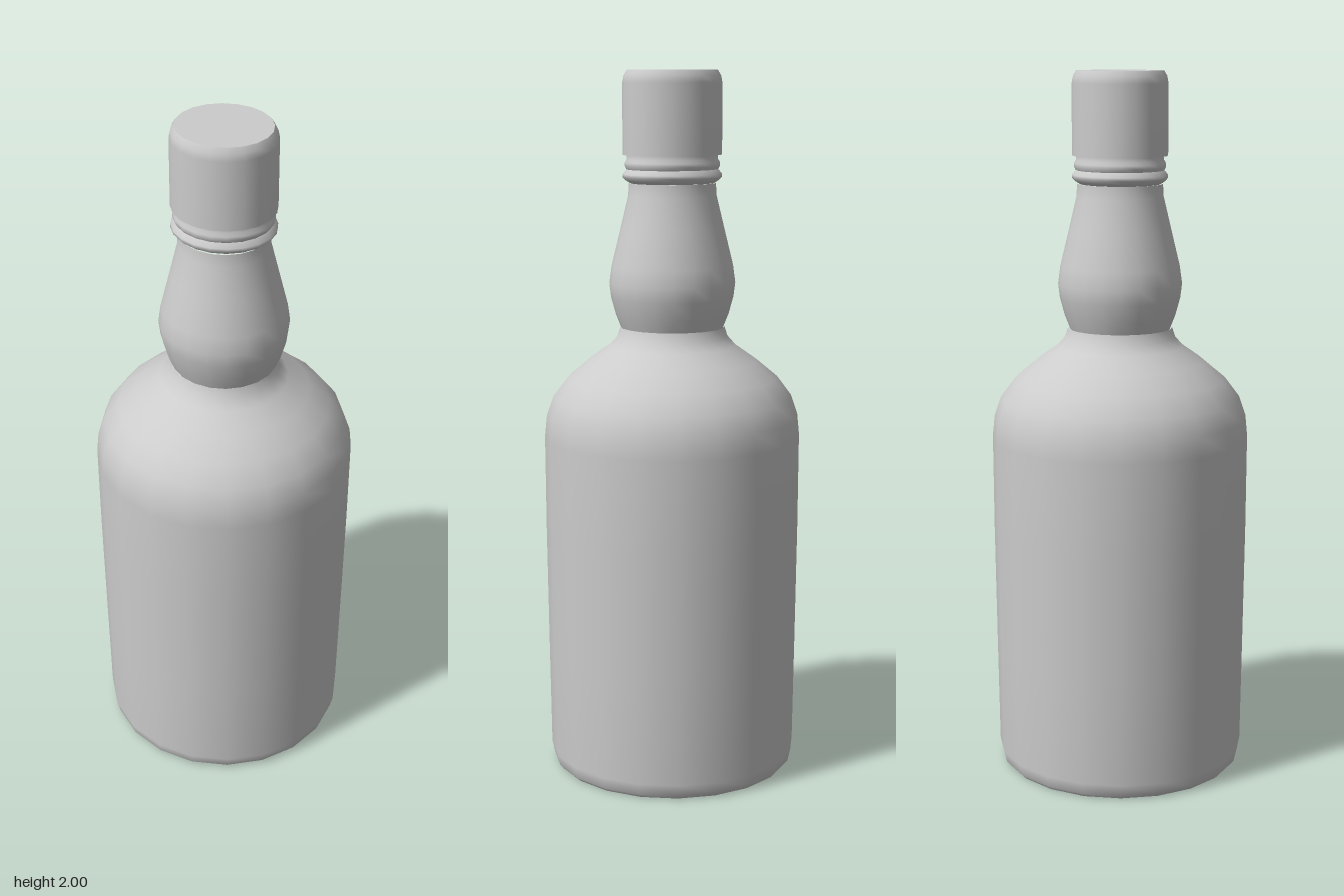
import * as THREE from 'three';

const SIDES = 20;

export function createModel() {
  const bottle = new THREE.Group();
  bottle.name = 'bottle';
  const material = new THREE.MeshStandardMaterial({ color: 0xcccccc });

  // Turns a profile of [radius, height] pairs, listed upwards; depth squeezes it along z
  function turned(name, profile, depth = 1) {
    const points = profile.map(([r, y]) => new THREE.Vector2(r, y));
    const mesh = new THREE.Mesh(new THREE.LatheGeometry(points, SIDES), material);
    mesh.name = name;
    mesh.scale.z = depth;
    bottle.add(mesh);
  }

  // Flat base and body with rounded shoulder
  turned('base', [[0, 0], [0.338, 0]]);
  turned('body', [
    [0.338, 0], [0.349, 0.012], [0.357, 0.045], [0.361, 0.35], [0.365, 0.7],
    [0.366, 0.97], [0.36, 1.03], [0.341, 1.085], [0.3, 1.14],
    [0.24, 1.19], [0.18, 1.232], [0.157, 1.258], [0.148, 1.285],
  ]);

  // Bulging neck, slightly narrower in depth
  turned('neck', [
    [0.146, 1.28], [0.162, 1.32], [0.176, 1.37], [0.181, 1.41], [0.174, 1.46],
    [0.148, 1.565], [0.126, 1.655], [0.124, 1.69],
  ], 0.965);

  // Lip rings below the cap
  turned('lowerRing', [
    [0.122, 1.69], [0.134, 1.697], [0.143, 1.706], [0.143, 1.715], [0.132, 1.728],
  ], 0.93);
  turned('collar', [
    [0.132, 1.728], [0.137, 1.737], [0.137, 1.747], [0.131, 1.756], [0.131, 1.768],
  ], 0.93);

  // Cap with bevelled rim and flat top
  turned('capUnderside', [[0.125, 1.768], [0.143, 1.768]], 0.93);
  turned('cap', [[0.143, 1.768], [0.143, 1.965], [0.139, 1.985], [0.13, 2]], 0.93);
  turned('capTop', [[0.13, 2], [0, 2]], 0.93);

  return bottle;
}
